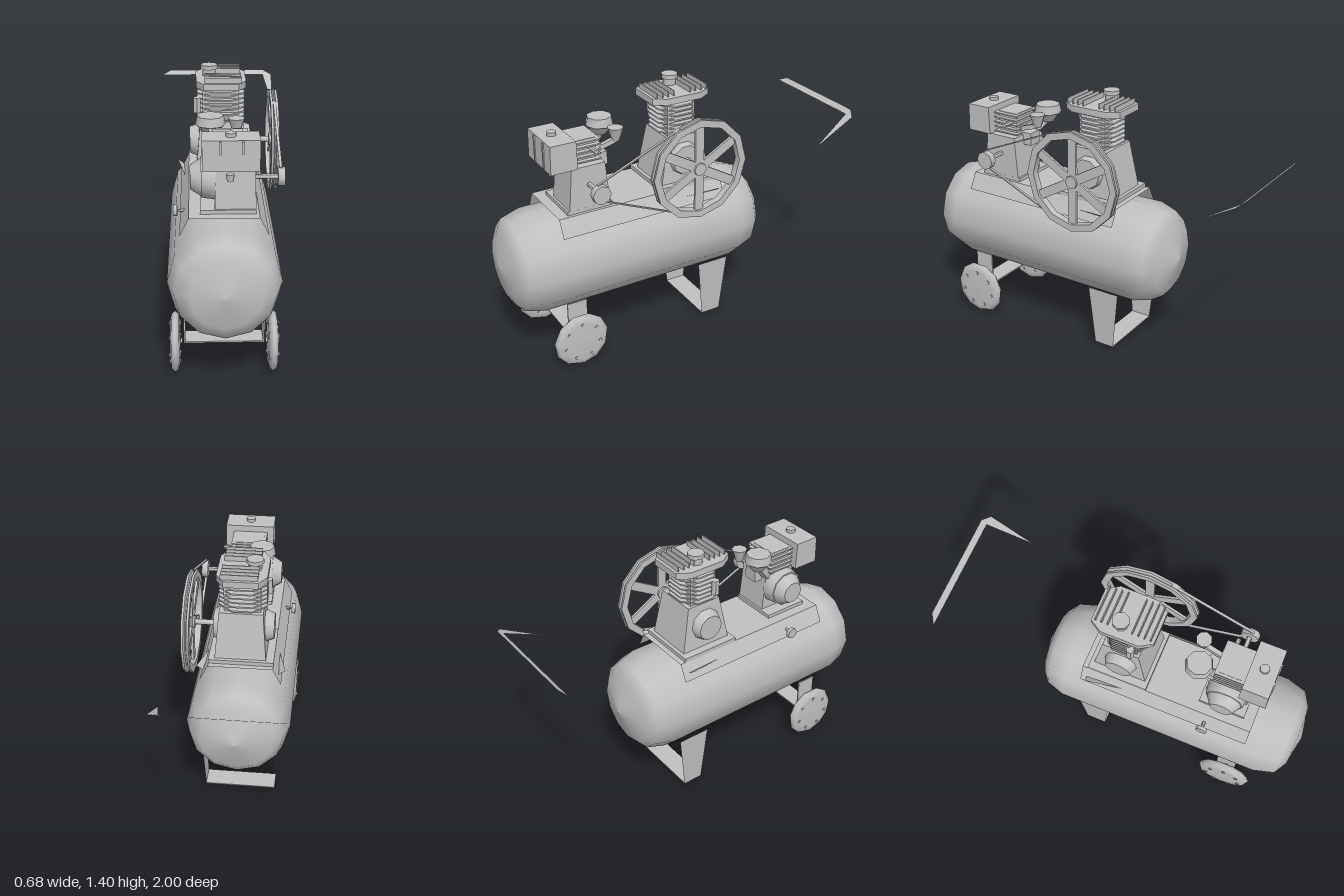
import * as THREE from 'three';
import { toCreasedNormals } from 'three/addons/utils/BufferGeometryUtils.js';

const grey = new THREE.MeshStandardMaterial({ color: 0xc0c0c0, side: THREE.DoubleSide });
grey.name = 'light metal grey';

export function createModel() {
  const root = new THREE.Group();
  root.name = 'airCompressor';

  const add = (name, geo, x = 0, y = 0, z = 0, crease = 0.6) => {
    const mesh = new THREE.Mesh(crease ? toCreasedNormals(geo, crease) : geo, grey);
    mesh.name = name;
    mesh.position.set(x, y, z);
    root.add(mesh);
    return mesh;
  };
  const box = (name, w, h, d, x, y, z) => add(name, new THREE.BoxGeometry(w, h, d), x, y, z);
  // Box whose top is scaled by sx, sz
  const taper = (name, w, h, d, sx, sz, x, y, z) => {
    const g = new THREE.BoxGeometry(w, h, d);
    const p = g.attributes.position;
    for (let i = 0; i < p.count; i++) {
      if (p.getY(i) > 0) p.setXYZ(i, p.getX(i) * sx, p.getY(i), p.getZ(i) * sz);
    }
    return add(name, g, x, y, z);
  };
  // Upright cylinder, or one along x
  const cyl = (name, rt, rb, h, n, x, y, z) => add(name, new THREE.CylinderGeometry(rt, rb, h, n), x, y, z, 0.9);
  const cylX = (name, r1, r0, h, n, x, y, z) =>
    add(name, new THREE.CylinderGeometry(r1, r0, h, n).rotateZ(-Math.PI / 2), x, y, z, 0.9);
  const lathe = (pts, n) => new THREE.LatheGeometry(pts.map(([r, y]) => new THREE.Vector2(r, y)), n);
  // Flat sheet through the outline points, as a fan
  const sheet = (name, pts) => {
    const g = new THREE.BufferGeometry();
    const v = [];
    for (let i = 1; i < pts.length - 1; i++) v.push(...pts[0], ...pts[i], ...pts[i + 1]);
    g.setAttribute('position', new THREE.Float32BufferAttribute(v, 3));
    g.computeVertexNormals();
    return add(name, g, 0, 0, 0, 0);
  };
  // Square bar between two points
  const bar = (name, a, b, t, w) => {
    const p = new THREE.Vector3(...a), q = new THREE.Vector3(...b);
    const m = box(name, w, t, p.distanceTo(q), 0, 0, 0);
    m.position.copy(p).add(q).multiplyScalar(0.5);
    m.lookAt(q);
  };

  // Pressure tank lying along z
  const tank = lathe([[0, -0.515], [0.19, -0.465], [0.245, -0.42], [0.276, -0.32],
    [0.276, 0.81], [0.245, 0.92], [0.17, 0.965], [0, 0.995]], 12);
  add('tank', tank.rotateX(Math.PI / 2), 0, 0.56, 0, 0);

  // Saddle plate with flared skirts and thin side tabs
  sheet('saddleTop', [[-0.17, 0.845, 0.72], [0.17, 0.845, 0.72], [0.17, 0.845, -0.225], [-0.17, 0.845, -0.225]]);
  for (const s of [-1, 1]) {
    sheet('saddleSkirt', [[s * 0.17, 0.845, 0.72], [s * 0.215, 0.755, 0.72],
      [s * 0.215, 0.755, -0.225], [s * 0.17, 0.845, -0.225]]);
    sheet('saddleTab', [[s * 0.19, 0.795, 0.02], [s * 0.235, 0.82, -0.19], [s * 0.2, 0.795, -0.19]]);
  }

  // Wheels with bolts, axle and brackets
  for (const s of [-1, 1]) {
    const wheel = lathe([[0, -0.026], [0.11, -0.024], [0.14, -0.018], [0.154, 0],
      [0.14, 0.018], [0.11, 0.024], [0, 0.026]], 11);
    add('wheel', wheel.rotateY(Math.PI / 2).rotateZ(-Math.PI / 2), s * 0.245, 0.155, 0.665, 0);
    for (let i = 0; i < 7; i++) {
      const a = i / 7 * Math.PI * 2;
      cylX('wheelBolt', 0.01, 0.01, 0.058, 6, s * 0.245, 0.155 + Math.cos(a) * 0.1, 0.665 + Math.sin(a) * 0.1);
    }
    cylX('wheelHub', 0.015, 0.015, 0.06, 6, s * 0.24, 0.155, 0.665);
    box('axleBracket', 0.008, 0.19, 0.11, s * 0.197, 0.265, 0.66);
  }
  box('axlePlate', 0.39, 0.008, 0.11, 0, 0.175, 0.66);

  // Rear stand bent from flat strip
  for (const s of [-1, 1]) {
    sheet('standLeg', [[s * 0.208, 0.36, -0.075], [s * 0.208, 0.36, -0.26],
      [s * 0.195, 0.025, -0.225], [s * 0.195, 0.025, -0.11]]);
  }
  box('standFoot', 0.39, 0.006, 0.115, 0, 0.026, -0.167);

  // Flywheel: grooved rim, hub and six spokes
  const fy = 0.99, fz = -0.025;
  const rim = lathe([[0.237, -0.02], [0.275, -0.02], [0.275, -0.008], [0.255, -0.003], [0.255, 0.003],
    [0.275, 0.008], [0.275, 0.02], [0.237, 0.02], [0.237, -0.02]], 12);
  add('flywheelRim', rim.rotateZ(-Math.PI / 2), 0.276, fy, fz);
  cylX('flywheelHub', 0.035, 0.035, 0.035, 8, 0.276, fy, fz);
  for (let i = 0; i < 6; i++) {
    const spoke = new THREE.BoxGeometry(0.014, 0.225, 0.05).translate(0, 0.133, 0).rotateX(i * Math.PI / 3);
    add('flywheelSpoke', spoke, 0.276, fy, fz);
  }
  cylX('pumpShaft', 0.015, 0.015, 0.16, 8, 0.21, fy, fz);

  // Engine pulley and drive belt
  cylX('enginePulley', 0.05, 0.05, 0.035, 8, 0.28, 0.99, 0.54);
  cylX('engineShaft', 0.013, 0.013, 0.13, 8, 0.2, 0.99, 0.54);
  bar('beltTop', [0.276, 1.04, 0.555], [0.276, 1.235, 0.09], 0.006, 0.014);
  bar('beltBottom', [0.276, 0.945, 0.52], [0.276, 0.77, 0.11], 0.006, 0.014);

  // Pump crankcase
  box('pumpBase', 0.345, 0.022, 0.33, 0, 0.856, -0.03);
  taper('crankcase', 0.27, 0.25, 0.29, 0.85, 0.68, 0.005, 0.992, -0.03);
  cylX('bearingCover', 0.08, 0.095, 0.04, 10, 0.135, fy, fz);
  cylX('crankCover', 0.09, 0.07, 0.05, 10, -0.14, fy, fz);

  // Pump cylinder with cooling fins
  box('pumpCylinder', 0.19, 0.2, 0.16, 0, 1.21, -0.025);
  for (let i = 0; i < 7; i++) {
    const fin = new THREE.CylinderGeometry(0.135, 0.135, 0.008, 8).rotateY(Math.PI / 8);
    add('pumpFin', fin, 0, 1.135 + i * 0.025, -0.025, 0.9).scale.set(1, 1, 0.9);
  }

  // Cylinder head with ribs
  const headShape = new THREE.Shape([[-0.09, -0.165], [0.09, -0.165], [0.13, -0.1], [0.13, 0.1], [0.09, 0.165],
    [-0.09, 0.165], [-0.13, 0.1], [-0.13, -0.1]].map(([x, y]) => new THREE.Vector2(x, y)));
  const head = new THREE.ExtrudeGeometry(headShape, { depth: 0.035, bevelEnabled: false }).rotateX(-Math.PI / 2);
  add('cylinderHead', head, 0, 1.305, -0.025);
  for (let i = 0; i < 10; i++) {
    if (i === 4 || i === 5) continue;
    box('headRib', 0.19, 0.03, 0.006, 0.01, 1.353, -0.17 + i * 0.0322);
  }
  cyl('intakeBody', 0.035, 0.035, 0.045, 8, -0.06, 1.355, -0.045);
  cyl('intakeCap', 0.045, 0.045, 0.022, 8, -0.06, 1.387, -0.045);
  cyl('dischargeElbow', 0.022, 0.022, 0.08, 6, -0.125, 1.2, 0.03);

  // Engine block, fan cover and base
  box('engineFoot', 0.27, 0.02, 0.25, 0.02, 0.856, 0.54);
  taper('engineBlock', 0.2, 0.24, 0.23, 0.95, 0.8, 0.055, 0.97, 0.54);
  cylX('fanCover', 0.11, 0.1, 0.07, 10, -0.075, 0.99, 0.54);
  cylX('recoilStarter', 0.095, 0.06, 0.055, 10, -0.135, 0.99, 0.54);

  // Engine cylinder with fins
  box('engineCylinder', 0.15, 0.13, 0.12, 0.02, 1.145, 0.53);
  for (let i = 0; i < 5; i++) box('engineFin', 0.19, 0.007, 0.155, 0.025, 1.1 + i * 0.026, 0.53);
  cylX('sparkPlug', 0.012, 0.012, 0.07, 6, 0.13, 1.16, 0.5);

  // Fuel tank with filler cap and front knob
  taper('fuelTank', 0.27, 0.15, 0.145, 1, 0.95, 0.03, 1.167, 0.675);
  cyl('fuelCap', 0.025, 0.025, 0.02, 8, 0.03, 1.25, 0.675);
  for (const x of [-0.02, 0.085]) box('fuelTankStrap', 0.012, 0.14, 0.008, x, 1.167, 0.747);
  cyl('knob', 0.02, 0.016, 0.035, 8, 0.028, 1.04, 0.685);
  bar('knobStem', [0.028, 1.04, 0.6], [0.028, 1.04, 0.685], 0.01, 0.01);

  // Air cleaner and exhaust cup
  cyl('airCleanerCap', 0.066, 0.075, 0.045, 8, -0.06, 1.225, 0.37);
  cyl('airCleanerBowl', 0.07, 0.035, 0.05, 8, -0.06, 1.177, 0.37);
  bar('airCleanerNeck', [-0.06, 1.16, 0.38], [-0.03, 1.07, 0.46], 0.04, 0.04);
  cyl('exhaustCup', 0.042, 0.02, 0.07, 8, 0.07, 1.19, 0.345);
  bar('exhaustPipe', [0.07, 1.16, 0.35], [0.06, 1.12, 0.47], 0.025, 0.025);
  box('carburetor', 0.08, 0.07, 0.06, 0.03, 1.07, 0.425);

  // Tank gauge
  cylX('gauge', 0.03, 0.03, 0.02, 8, -0.238, 0.79, 0.48);
  cylX('gaugeStem', 0.012, 0.004, 0.05, 6, -0.21, 0.79, 0.48);

  // Pull handle: a flat bent strip behind the tank
  sheet('handleBar', [[0.285, 1.096, -0.97], [0.34, 1.096, -0.97], [0.29, 1.118, -1], [-0.29, 1.118, -1],
    [-0.34, 1.096, -0.97]]);
  sheet('handleArm', [[0.335, 0.96, -0.73], [0.34, 1.096, -0.97], [0.285, 1.098, -0.972]]);

  return root;
}
